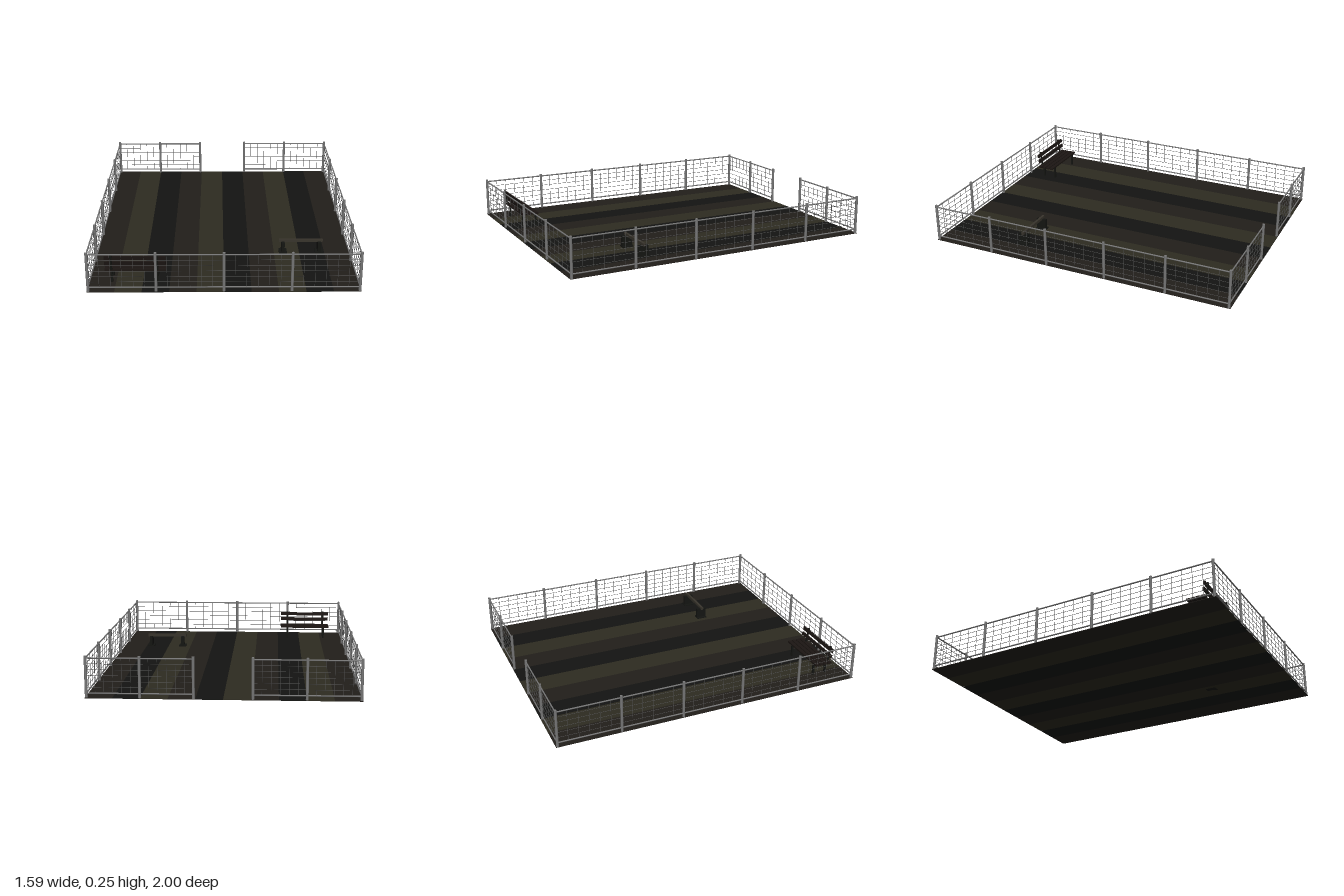
import * as THREE from 'three';

const mat = (color) => new THREE.MeshStandardMaterial({ color });
const metal = mat(0x777777), wireMat = mat(0x555555), dark = mat(0x141512), wood = mat(0x1c1613), beamWood = mat(0x38342c);

function box(parent, name, size, pos, material) {
  const m = new THREE.Mesh(new THREE.BoxGeometry(...size), material);
  m.name = name;
  m.position.set(...pos);
  parent.add(m);
  return m;
}

// Round bar between two points
function bar(parent, name, a, b, r, material, sides = 8) {
  const p = new THREE.Vector3(...a), d = new THREE.Vector3(...b).sub(p);
  const m = new THREE.Mesh(new THREE.CylinderGeometry(r, r, d.length(), sides), material);
  m.name = name;
  m.position.copy(p).addScaledVector(d, 0.5);
  m.quaternion.setFromUnitVectors(new THREE.Vector3(0, 1, 0), d.normalize());
  parent.add(m);
}

// Rails and wire mesh spanning two posts, given as [x, z]
function fencePanel(parent, [x0, z0], [x1, z1]) {
  const g = new THREE.Group();
  g.name = 'fencePanel';
  parent.add(g);
  const low = 0.028, high = 0.235, n = 6;
  for (const y of [low, high]) bar(g, 'rail', [x0, y, z0], [x1, y, z1], 0.0045, metal);
  for (let i = 1; i < n; i++) {
    const t = i / n, y = low + (high - low) * t;
    const x = x0 + (x1 - x0) * t, z = z0 + (z1 - z0) * t;
    bar(g, 'horizontalWire', [x0, y, z0], [x1, y, z1], 0.0013, wireMat, 5);
    bar(g, 'verticalWire', [x, low, z], [x, high, z], 0.0013, wireMat, 5);
  }
}

// A straight run of posts with panels between them
function fenceRun(parent, name, start, end, bays, skipFirst = false, skipLast = false) {
  const g = new THREE.Group();
  g.name = name;
  parent.add(g);
  const at = (i) => start.map((s, k) => s + (end[k] - s) * i / bays);
  for (let i = 0; i <= bays; i++) {
    const [x, z] = at(i);
    if (!(skipFirst && i === 0) && !(skipLast && i === bays)) {
      bar(g, 'post', [x, 0, z], [x, 0.248, z], 0.0085, metal, 10);
    }
    if (i < bays) fencePanel(g, at(i), at(i + 1));
  }
}

function bench() {
  const g = new THREE.Group();
  g.name = 'bench';
  const cx = -0.52, len = 0.36;
  for (let i = 0; i < 4; i++) box(g, 'seatSlat', [len, 0.011, 0.024], [cx, 0.087, 0.788 + i * 0.03], wood);
  for (const [y, z] of [[0.131, 0.886], [0.169, 0.893]]) {
    box(g, 'backSlat', [len, 0.023, 0.008], [cx, y, z], wood).rotation.x = 0.16;
  }
  for (const x of [-0.66, -0.39]) {
    for (const z of [0.782, 0.87]) box(g, 'leg', [0.012, 0.082, 0.012], [x, 0.041, z], dark);
    box(g, 'seatBearer', [0.012, 0.008, 0.1], [x, 0.079, 0.828], dark);
    box(g, 'backSupport', [0.012, 0.106, 0.008], [x, 0.133, 0.893], dark).rotation.x = 0.16;
  }
  return g;
}

function balanceBeam() {
  const g = new THREE.Group();
  g.name = 'balanceBeam';
  const z = 0.46;
  box(g, 'beam', [0.275, 0.018, 0.016], [0.488, 0.08, z], beamWood);
  for (const x of [0.375, 0.603]) {
    box(g, 'support', [0.02, 0.074, 0.066], [x, 0.037, z], dark);
    box(g, 'foot', [0.05, 0.01, 0.07], [x, 0.005, z], dark);
  }
  return g;
}

export function createModel() {
  const model = new THREE.Group();

  // Striped ground
  const ground = new THREE.Group();
  ground.name = 'ground';
  model.add(ground);
  const stripes = [0x221e1a, 0x2d2b20, 0x131412].map(mat);
  for (let i = 0; i < 10; i++) {
    box(ground, 'groundStripe', [0.159, 0.003, 2], [-0.7155 + i * 0.159, 0.0015, 0], stripes[i % 3]);
  }

  // Fence with an entrance gap in the back
  const X = 0.787, Z = 0.99;
  for (const s of [-1, 1]) {
    fenceRun(model, s > 0 ? 'leftFence' : 'rightFence', [s * X, Z], [s * X, -Z], 5);
    fenceRun(model, 'backFence', [s * X, -Z], [s * 0.17, -Z], 2, true);
  }
  fenceRun(model, 'frontFence', [-X, Z], [X, Z], 4, true, true);

  model.add(bench(), balanceBeam());
  return model;
}
